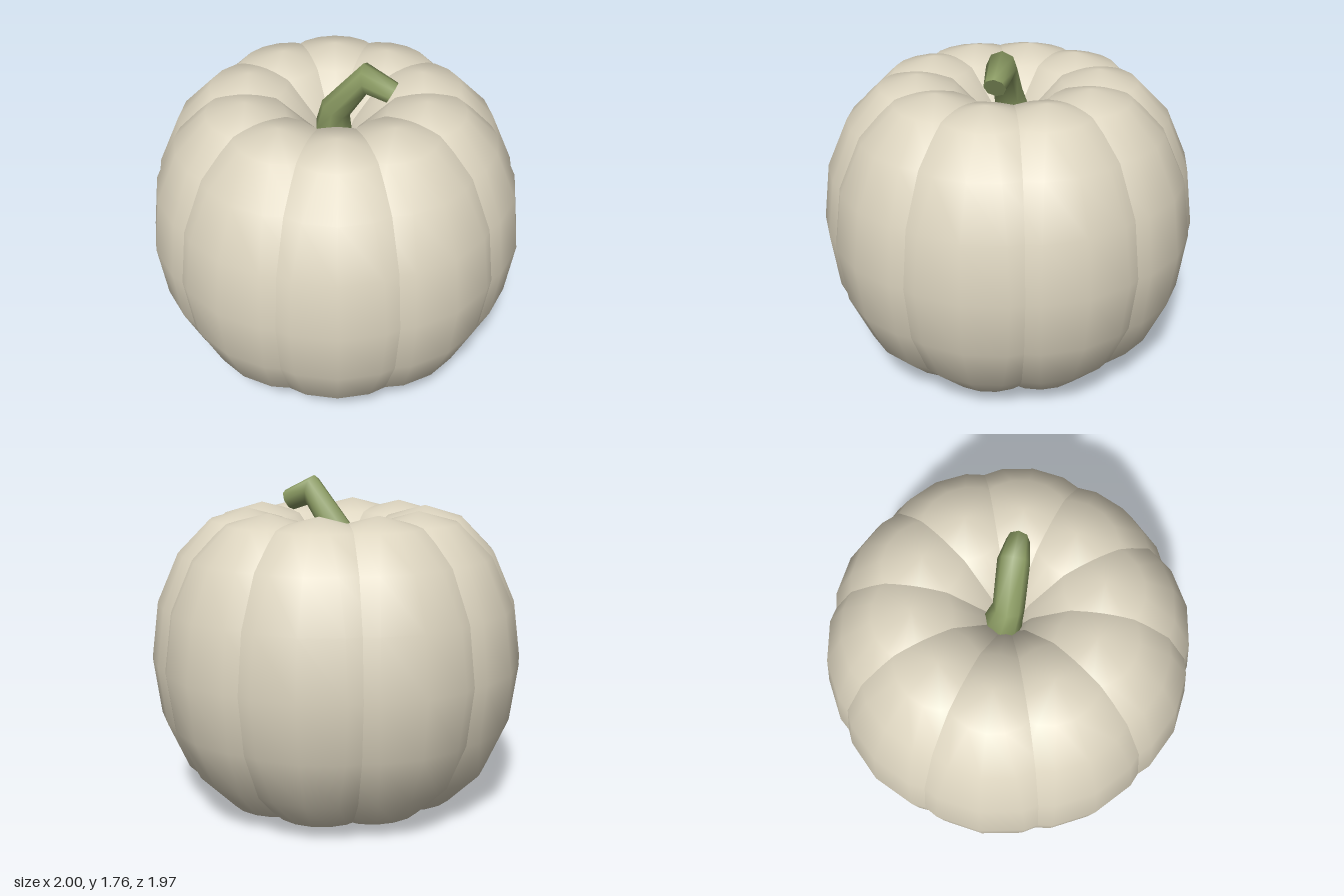
import * as THREE from 'three';

// Octagonal tube through rings: centre, radius and tilt of the ring axis from vertical towards +x
function ringTube(rings, sides) {
  const pos = [], idx = [];
  for (const { c, r, tilt } of rings) {
    for (let i = 0; i < sides; i++) {
      const a = (i / sides) * Math.PI * 2;
      const u = Math.cos(a) * r, w = Math.sin(a) * r;
      pos.push(c[0] + u * Math.cos(tilt), c[1] - u * Math.sin(tilt), c[2] + w);
    }
  }
  for (let k = 0; k < rings.length - 1; k++) {
    for (let i = 0; i < sides; i++) {
      const j = (i + 1) % sides;
      const a = k * sides + i, b = k * sides + j;
      idx.push(a, a + sides, b, b, a + sides, b + sides);
    }
  }
  const geo = new THREE.BufferGeometry();
  geo.setAttribute('position', new THREE.Float32BufferAttribute(pos, 3));
  geo.setIndex(idx);
  geo.computeVertexNormals();
  return geo;
}

export function createModel() {
  const model = new THREE.Group();
  model.name = 'pumpkin';

  const skin = new THREE.MeshStandardMaterial({ color: 0xdcd4bf });
  skin.name = 'creamSkin';
  const green = new THREE.MeshStandardMaterial({ color: 0x8a9a62 });
  green.name = 'stemGreen';

  // Ten overlapping ellipsoid ribs around the core
  const ribs = new THREE.Group();
  ribs.name = 'ribs';
  const ribGeo = new THREE.SphereGeometry(1, 16, 8);
  ribGeo.scale(0.525, 0.8, 0.61);
  ribGeo.translate(0.475, 0.8, 0);
  for (let i = 0; i < 10; i++) {
    const rib = new THREE.Mesh(ribGeo, skin);
    rib.name = 'rib' + (i + 1);
    rib.rotation.y = (i * Math.PI) / 5;
    ribs.add(rib);
  }
  model.add(ribs);

  // Bent stem rising from the hollow
  const rings = [
    { c: [-0.03, 1.15, -0.04], r: 0.11, tilt: 0 },
    { c: [-0.02, 1.36, -0.025], r: 0.098, tilt: 0.05 },
    { c: [0, 1.48, 0], r: 0.08, tilt: 0.4 },
    { c: [0.155, 1.68, 0], r: 0.08, tilt: 1.39 },
    { c: [0.295, 1.62, 0], r: 0.058, tilt: 2.03 },
  ];
  const stem = new THREE.Mesh(ringTube(rings, 8), green);
  stem.name = 'stem';
  model.add(stem);

  // Flat cut end of the stem
  const tip = rings[rings.length - 1];
  const capGeo = new THREE.CircleGeometry(tip.r, 8);
  capGeo.rotateX(-Math.PI / 2);
  capGeo.rotateZ(-tip.tilt);
  const cap = new THREE.Mesh(capGeo, green);
  cap.name = 'stemCutEnd';
  cap.position.set(...tip.c);
  model.add(cap);

  return model;
}
